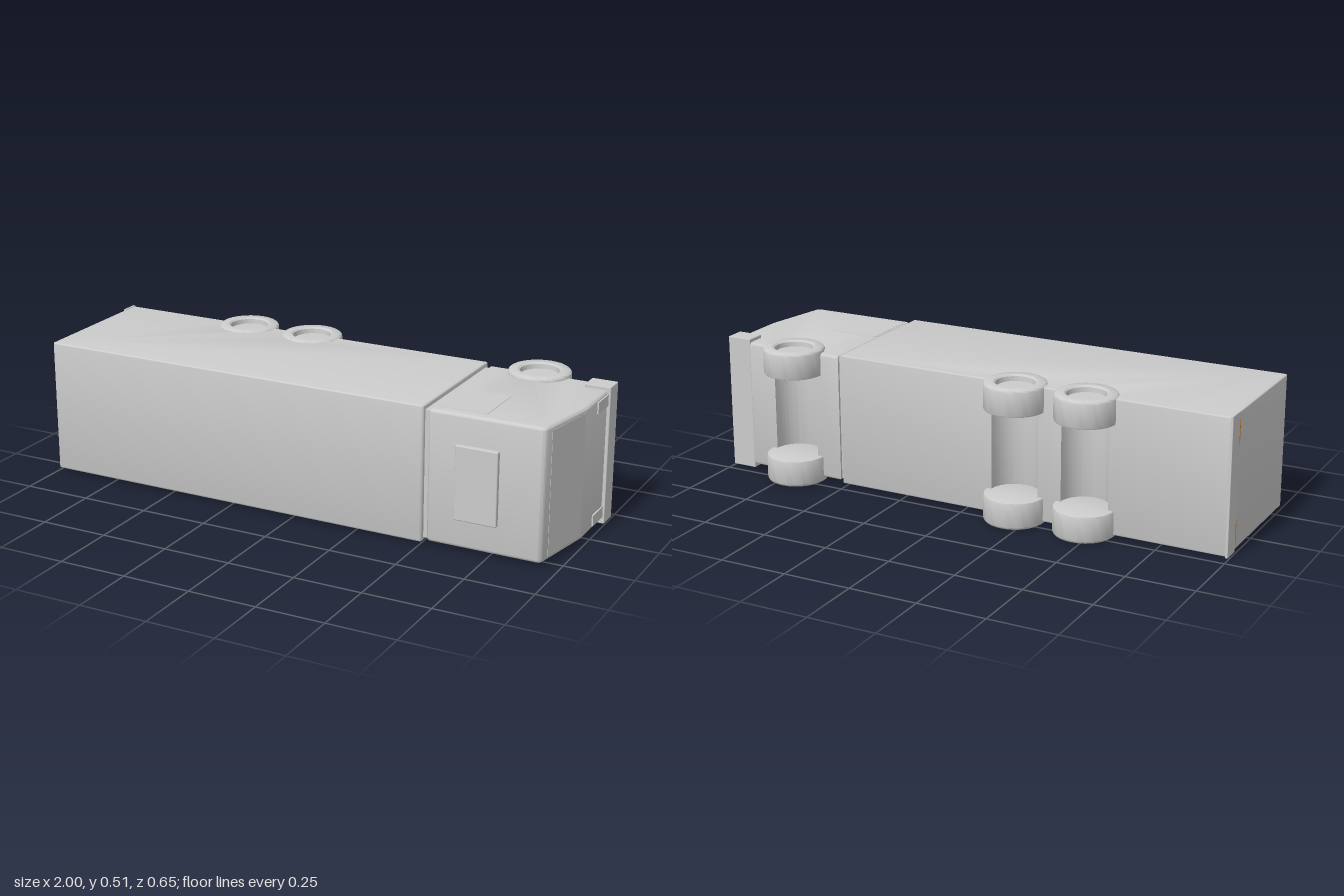
import * as THREE from 'three';
import { toCreasedNormals } from 'three/addons/utils/BufferGeometryUtils.js';
import { RoundedBoxGeometry } from 'three/addons/geometries/RoundedBoxGeometry.js';

const grey = new THREE.MeshStandardMaterial({ color: 0xcccccc });
const orange = new THREE.MeshStandardMaterial({ color: 0xe08a1e });

// The truck lies on its side: length along x, width along y, its roof faces +z.
const WIDTH_MID = 0.256;
const AXLE_Z = -0.215;
const WELL_R = 0.09;

export function createModel() {
  const group = new THREE.Group();

  const add = (name, geometry, material = grey) => {
    const mesh = new THREE.Mesh(geometry, material);
    mesh.name = name;
    group.add(mesh);
    return mesh;
  };

  // Box given by its limits on each axis
  const box = (name, x, y, z, round = 0, material = grey) => {
    const size = [x, y, z].map(([a, b]) => b - a);
    const geometry = round ? new RoundedBoxGeometry(...size, 2, round) : new THREE.BoxGeometry(...size);
    const mesh = add(name, geometry, material);
    mesh.position.set(...[x, y, z].map(([a, b]) => (a + b) / 2));
    return mesh;
  };

  // Side profile (x, z) with wheel wells in its underside, extruded across the width
  const body = (name, x0, x1, bottom, wells, outline, [y0, y1], bevel) => {
    const shape = new THREE.Shape();
    shape.moveTo(x0, bottom);
    for (const c of wells) {
      shape.lineTo(c - WELL_R, bottom);
      shape.absarc(c, bottom, WELL_R, Math.PI, 0, true);
    }
    shape.lineTo(x1, bottom);
    outline(shape);
    shape.closePath();
    const geometry = new THREE.ExtrudeGeometry(shape, {
      depth: y1 - y0 - 2 * bevel, bevelSize: bevel, bevelThickness: bevel,
      bevelOffset: -bevel, bevelSegments: 3, curveSegments: 24,
    });
    geometry.rotateX(Math.PI / 2).translate(0, y1 - bevel, 0);
    add(name, toCreasedNormals(geometry, 0.6));
  };

  // Trailer
  body('trailer', -0.997, 0.508, -0.221, [-0.47, -0.2], (s) => {
    s.lineTo(0.508, 0.307);
    s.quadraticCurveTo(0.508, 0.317, 0.498, 0.317);
    s.lineTo(-0.987, 0.317);
    s.quadraticCurveTo(-0.997, 0.317, -0.997, 0.307);
  }, [0.011, 0.505], 0.006);

  // Cab with raked windscreen and rounded roof edges
  body('cab', 0.522, 0.988, -0.214, [0.71], (s) => {
    s.lineTo(0.988, 0.055);
    s.lineTo(0.946, 0.29);
    s.quadraticCurveTo(0.943, 0.311, 0.925, 0.311);
    s.lineTo(0.54, 0.311);
    s.quadraticCurveTo(0.522, 0.311, 0.522, 0.295);
  }, [0.017, 0.496], 0.012);

  box('coupling', [0.5, 0.53], [0.025, 0.488], [-0.205, 0.3]);
  box('roofHatch', [0.63, 0.785], [0.122, 0.39], [0.305, 0.327], 0.004);

  // Windscreen panel on the raked face
  const rake = Math.atan2(0.988 - 0.946, 0.29 - 0.055);
  const windscreen = box('windscreen', [0.964, 0.97], [0.035, 0.48], [0.06, 0.27]);
  windscreen.position.set(0.9665, WIDTH_MID, 0.165);
  windscreen.rotation.y = -rake;

  // Front bumper wrapping the corners, and headlights above it
  box('bumper', [0.905, 1], [0.004, 0.509], [-0.215, -0.141], 0.003);
  for (const [y0, y1] of [[0.03, 0.07], [0.442, 0.483]]) {
    box('headlight', [0.97, 0.993], [y0, y1], [-0.142, -0.045]);
  }

  // Door windows, one on each flank
  for (const y of [0.0175, 0.4955]) {
    box('sideWindow', [0.535, 0.72], [y - 0.0015, y + 0.0015], [0.065, 0.27]);
  }

  // Rear bar with marker lamps
  box('rearBar', [-1, -0.99], [0.007, 0.508], [-0.222, -0.155], 0.002);
  for (const [y0, y1] of [[0.03, 0.12], [0.39, 0.48]]) {
    box('markerLamp', [-1, -0.994], [y0, y1], [-0.156, -0.15], 0, orange);
  }

  // Wheels: rounded tyre, dished rim outside, flat inner face
  const profile = [
    [0, 0.1], [0.105, 0.1], [0.11, 0.098], [0.1125, 0.092], [0.1125, 0.01], [0.11, 0.004],
    [0.104, 0], [0.077, 0], [0.07, 0.005], [0.068, 0.022], [0, 0.022],
  ].map(([r, h]) => new THREE.Vector2(r, h)).reverse();
  const wheelGeometry = toCreasedNormals(new THREE.LatheGeometry(profile, 40).toNonIndexed(), 0.6);
  for (const x of [-0.47, -0.2, 0.71]) {
    for (const side of [0, 1]) {
      const wheel = add('wheel', wheelGeometry);
      wheel.position.set(x, side ? 0.511 : 0, AXLE_Z);
      wheel.rotation.x = side * Math.PI;
    }
  }

  return group;
}
